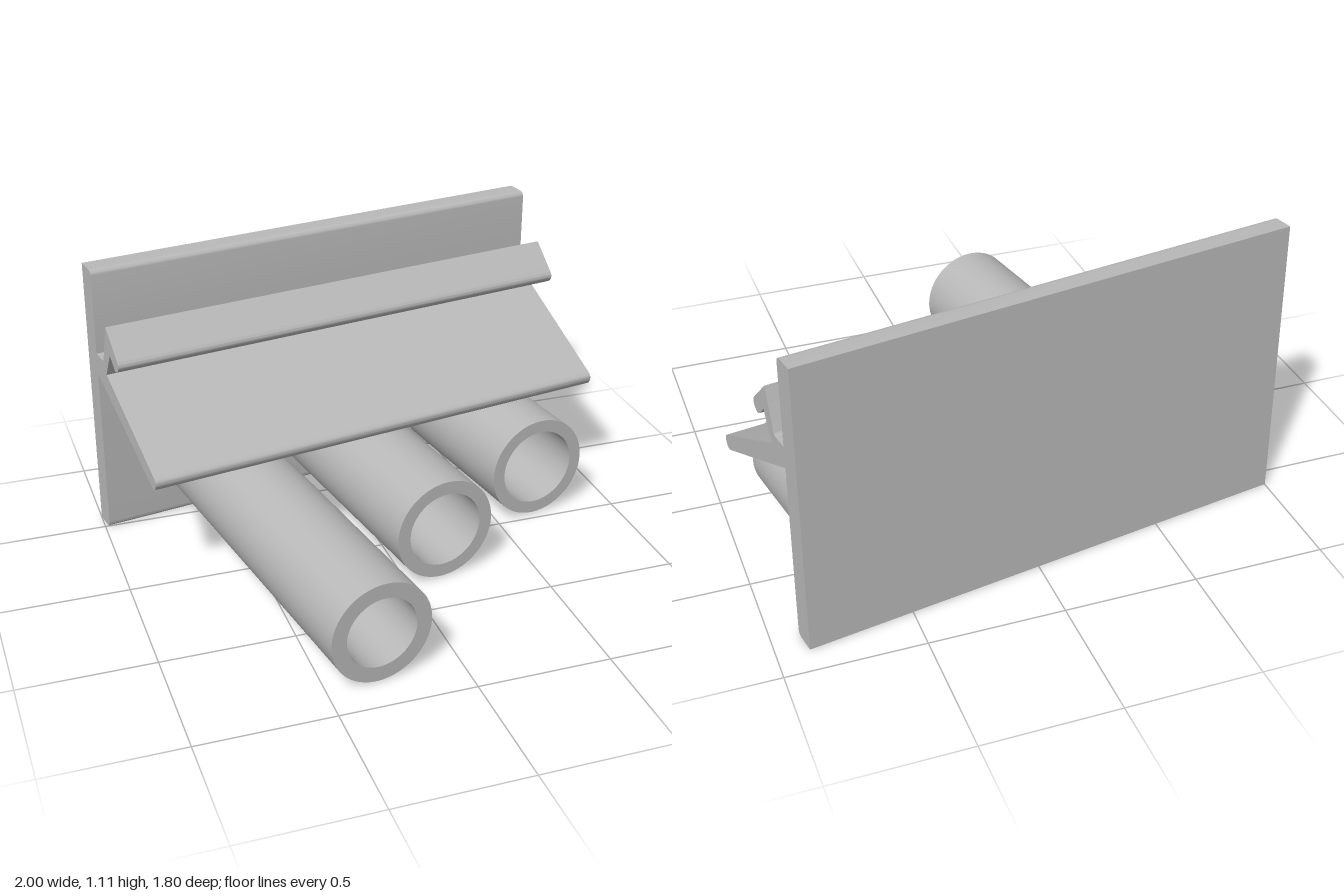
import * as THREE from 'three';
import { toCreasedNormals } from 'three/addons/utils/BufferGeometryUtils.js';

const WIDTH = 1.912;
const FACE = 0.092; // depth of the plate's front face

// Closed outline from [depth, height, cornerRadius] points
function roundedShape(points) {
  const shape = new THREE.Shape();
  points.forEach(([x, y, r = 0], i) => {
    const corner = new THREE.Vector2(x, y);
    const towards = (p) => {
      const dir = new THREE.Vector2(p[0], p[1]).sub(corner).normalize();
      return corner.clone().addScaledVector(dir, r);
    };
    const a = towards(points.at(i - 1));
    const b = towards(points[(i + 1) % points.length]);
    if (i === 0) shape.moveTo(a.x, a.y);
    else shape.lineTo(a.x, a.y);
    if (r) shape.quadraticCurveTo(x, y, b.x, b.y);
  });
  shape.closePath();
  return shape;
}

// Side profile swept along the full width
function sweptProfile(points, name, material) {
  const geometry = new THREE.ExtrudeGeometry(roundedShape(points), {
    depth: WIDTH, bevelEnabled: false, curveSegments: 8,
  });
  geometry.translate(0, 0, -WIDTH / 2).rotateY(-Math.PI / 2);
  const mesh = new THREE.Mesh(toCreasedNormals(geometry, 0.6), material);
  mesh.name = name;
  return mesh;
}

// Open pipe running forward from the plate
function pipe(x, outer, inner, end, material) {
  const length = end - FACE;
  const shape = new THREE.Shape().absarc(0, 0, outer, 0, Math.PI * 2);
  shape.holes.push(new THREE.Path().absarc(0, 0, inner, 0, Math.PI * 2, true));
  const geometry = new THREE.ExtrudeGeometry(shape, {
    depth: length, bevelEnabled: false, curveSegments: 32,
  });
  const mesh = new THREE.Mesh(toCreasedNormals(geometry, 0.6), material);
  mesh.position.set(x, 0.231, FACE);
  return mesh;
}

export function createModel() {
  const grey = new THREE.MeshStandardMaterial({ color: 0xb8b8b8 });
  grey.name = 'grey';

  const body = new THREE.Group();
  body.name = 'wallFixture';

  // Back plate and the hooked, sloping shelf share one profile
  body.add(sweptProfile([
    [0, 0], [FACE, 0, 0.025],
    [FACE, 0.685], [0.635, 0.437, 0.027], [0.66, 0.486, 0.027], // sloping shelf
    [0.193, 0.722], [0.245, 0.824],
    [0.302, 0.77, 0.028], [0.342, 0.811, 0.028], // hook lip
    [0.218, 0.928], [0.168, 0.768, 0.01], [FACE, 0.768],
    [FACE, 1.105, 0.025], [0, 1.105],
  ], 'plateAndShelf', grey));

  // Three pipes of decreasing length: x, outer radius, bore radius, front end
  [
    [-0.506, 0.194, 0.136, 1.537],
    [0.026, 0.202, 0.15, 1.059],
    [0.6, 0.206, 0.156, 0.817],
  ].forEach(([x, outer, inner, end], i) => {
    const mesh = pipe(x, outer, inner, end, grey);
    mesh.name = ['longPipe', 'middlePipe', 'shortPipe'][i];
    body.add(mesh);
  });

  // Turned sideways and leaning slightly forward
  body.rotation.set(0.022, 0.168, 0, 'YXZ');
  body.position.set(-0.0575, 0.002, -0.74);

  const model = new THREE.Group();
  model.name = 'model';
  model.add(body);
  return model;
}
